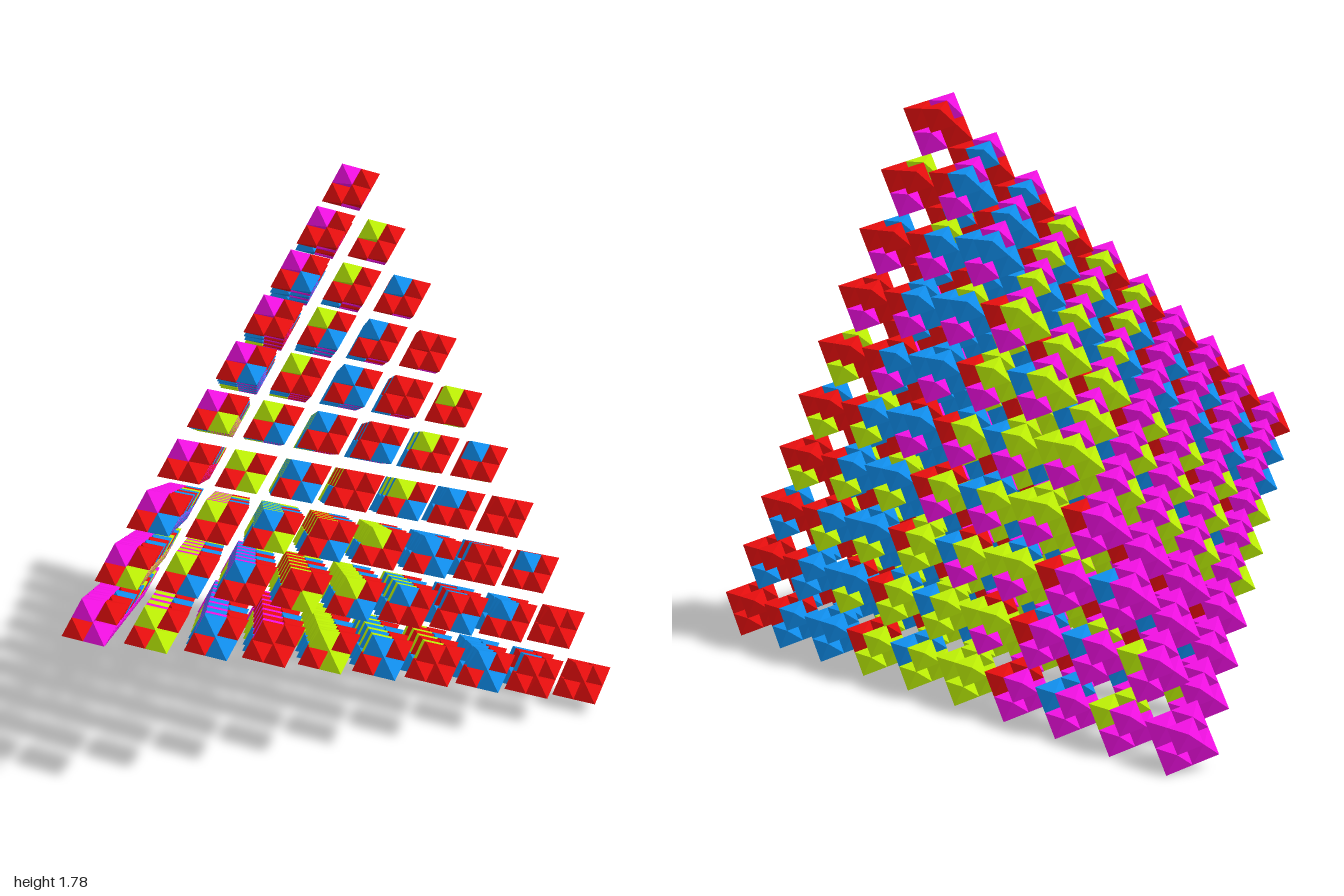
import * as THREE from 'three';
import { mergeGeometries } from 'three/addons/utils/BufferGeometryUtils.js';

// Tetrahedral stack of 220 clusters; each cluster is six small octahedra
// at the corners of a larger octahedron, coloured by three colour pairs.
const STEPS = 9;
const SPACING = 2 / (STEPS + 0.75);
const EDGE = 0.75 * SPACING;              // edge of one cluster
const RADIUS = EDGE / Math.SQRT2 / 2;     // radius of one small octahedron

const COLORS = [
  ['magenta', 0xf510e6],
  ['lime', 0xbff205],
  ['blue', 0x1090f0],
  ['red', 0xea0e0e],
];

export function createModel() {
  const model = new THREE.Group();
  model.name = 'octahedronTetrahedron';

  // corner clusters of the stack
  const span = STEPS * SPACING;
  const y0 = EDGE / Math.sqrt(3);
  const rise = span * Math.sqrt(3) / 2;
  const z = span * Math.sqrt(2 / 3) / 2;
  const west = new THREE.Vector3(-span / 2, y0, -z);
  const east = new THREE.Vector3(span / 2, y0, -z);
  const top = new THREE.Vector3(0, y0 + rise, -z);
  const front = new THREE.Vector3(0, y0 + rise / 3, z);

  // the three cluster axes join midpoints of opposite tetrahedron edges
  const axis = (a, b, c, d) => a.clone().add(b).sub(c).sub(d).normalize();
  const axisA = axis(top, front, west, east);
  const axisB = axis(top, east, front, west);
  const axisC = axis(top, west, front, east);

  // small octahedron aligned to those axes
  const unit = new THREE.OctahedronGeometry(RADIUS);
  unit.applyMatrix4(new THREE.Matrix4().makeBasis(
    axisA, axisB, axisA.clone().cross(axisB)));

  // the ten unordered colour pairs
  const pairs = [];
  for (let i = 0; i < 4; i++) for (let j = i; j < 4; j++) pairs.push([i, j]);

  const pieces = COLORS.map(() => []);
  const addPiece = (center, dir, side, color) => {
    const p = center.clone().addScaledVector(dir, side * RADIUS);
    pieces[color].push(unit.clone().translate(p.x, p.y, p.z));
  };

  // one cluster for each triple of pairs a <= c <= b
  for (let a = 0; a <= STEPS; a++) {
    for (let c = a; c <= STEPS; c++) {
      for (let b = c; b <= STEPS; b++) {
        const center = new THREE.Vector3()
          .addScaledVector(east, a / STEPS)
          .addScaledVector(top, (c - a) / STEPS)
          .addScaledVector(front, (b - c) / STEPS)
          .addScaledVector(west, (STEPS - b) / STEPS);
        const [a1, a2] = pairs[a], [b1, b2] = pairs[b], [c1, c2] = pairs[c];
        addPiece(center, axisA, 1, a2);   // front top
        addPiece(center, axisA, -1, a1);  // back bottom
        addPiece(center, axisB, 1, b2);   // back upper, +x
        addPiece(center, axisB, -1, b1);  // front lower, -x
        addPiece(center, axisC, 1, c1);   // back upper, -x
        addPiece(center, axisC, -1, c2);  // front lower, +x
      }
    }
  }

  // one mesh per colour
  COLORS.forEach(([name, color], i) => {
    const mesh = new THREE.Mesh(
      mergeGeometries(pieces[i]),
      new THREE.MeshStandardMaterial({ color, flatShading: true }));
    mesh.name = name + 'Octahedra';
    model.add(mesh);
  });
  return model;
}
